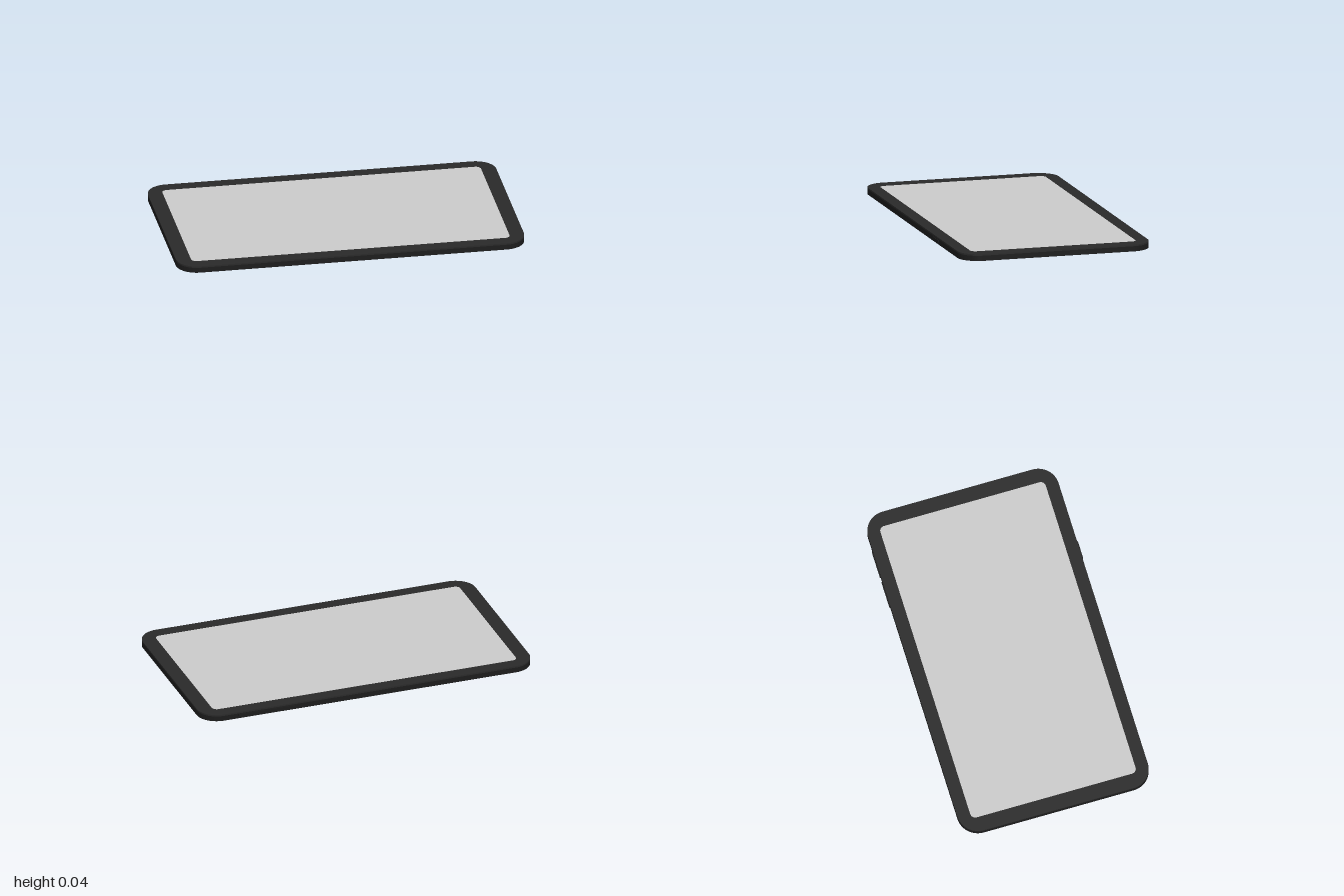
import * as THREE from 'three';
import { toCreasedNormals } from 'three/addons/utils/BufferGeometryUtils.js';

const paint = (color) => new THREE.MeshStandardMaterial({ color });

// Rounded rectangle centred on the origin
function roundedRect(Type, w, d, r) {
  const x = w / 2, y = d / 2, s = new Type();
  s.moveTo(-x + r, -y);
  s.lineTo(x - r, -y);
  s.absarc(x - r, -y + r, r, -Math.PI / 2, 0);
  s.lineTo(x, y - r);
  s.absarc(x - r, y - r, r, 0, Math.PI / 2);
  s.lineTo(-x + r, y);
  s.absarc(-x + r, y - r, r, Math.PI / 2, Math.PI);
  s.lineTo(-x, -y + r);
  s.absarc(-x + r, -y + r, r, Math.PI, Math.PI * 1.5);
  s.closePath();
  return s;
}

// Flat slab between two heights
function slab(name, shape, y0, y1, material) {
  const geo = new THREE.ExtrudeGeometry(shape, { depth: y1 - y0, bevelEnabled: false, curveSegments: 12 });
  geo.rotateX(-Math.PI / 2).translate(0, y0, 0);
  const mesh = new THREE.Mesh(toCreasedNormals(geo, 0.6), material);
  mesh.name = name;
  return mesh;
}

export function createModel() {
  const group = new THREE.Group();
  group.name = 'tablet';
  const shell = paint(0x1c1c1c), rim = paint(0x2a2a2a), glass = paint(0xcccccc);
  const W = 2, D = 1.123, R = 0.12;

  // Back shell
  group.add(slab('backShell', roundedRect(THREE.Shape, W, D, R), 0, 0.03, shell));

  // Bezel frame with the screen opening
  const frame = roundedRect(THREE.Shape, W, D, R);
  frame.holes.push(roundedRect(THREE.Path, 1.83, 0.976, 0.03));
  group.add(slab('bezel', frame, 0.03, 0.039, rim));

  // Screen filling the opening
  group.add(slab('screen', roundedRect(THREE.Shape, 1.83, 0.976, 0.03), 0.03, 0.0385, glass));

  // Edge buttons: [name, centre x, length, side]
  const buttons = [
    ['volumeUpButton', 0.52, 0.16, -1],
    ['volumeDownButton', 0.71, 0.16, -1],
    ['powerButton', 0.465, 0.105, 1],
  ];
  for (const [name, x, length, side] of buttons) {
    const button = new THREE.Mesh(new THREE.BoxGeometry(length, 0.012, 0.02), shell);
    button.position.set(x, 0.02, side * 0.557);
    button.name = name;
    group.add(button);
  }
  return group;
}
